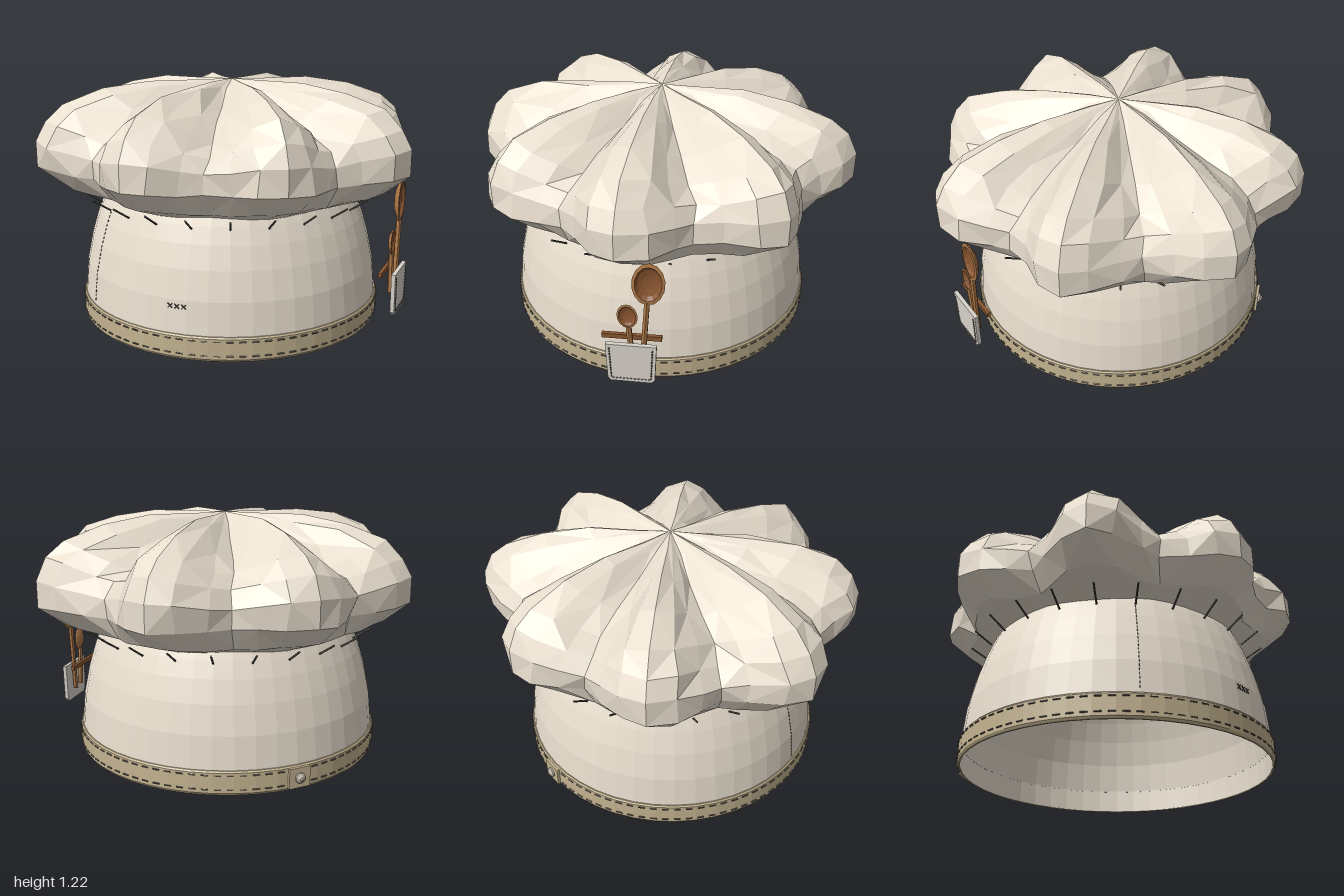
import * as THREE from 'three';
import { mergeGeometries } from 'three/addons/utils/BufferGeometryUtils.js';

const mat = (color) => new THREE.MeshStandardMaterial({ color, flatShading: true, side: THREE.DoubleSide });
const cloth = mat(0xe9dfcf), bandCloth = mat(0xc4b390), thread = mat(0x5a554d);
const wood = mat(0xb07a48), darkWood = mat(0x8a5630), pocketCloth = mat(0xd8d3ca), metal = mat(0xbdb6a8);
const V = (x, y, z) => new THREE.Vector3(x, y, z);
const v2 = (pts) => pts.map(([x, y]) => new THREE.Vector2(x, y));
const rad = THREE.MathUtils.degToRad;

// Point at an azimuth measured from the front (+z) toward +x
const polar = (az, r, y) => V(Math.sin(az) * r, y, Math.cos(az) * r);

function add(parent, name, geometry, material, pos = [0, 0, 0]) {
  const m = new THREE.Mesh(geometry, material);
  m.name = name;
  m.position.set(...pos);
  parent.add(m);
  return m;
}

// Thin rod between two points
function rod(a, b, r, sides = 4) {
  const g = new THREE.CylinderGeometry(r, r, a.distanceTo(b), sides);
  const dir = b.clone().sub(a).normalize();
  g.applyQuaternion(new THREE.Quaternion().setFromUnitVectors(V(0, 1, 0), dir));
  return g.translate((a.x + b.x) / 2, (a.y + b.y) / 2, (a.z + b.z) / 2);
}

// Dashes along a path given by a function of t in 0..1
function dashes(path, n, r) {
  return mergeGeometries(Array.from({ length: n }, (_, i) => rod(path((i + 0.2) / n), path((i + 0.75) / n), r)));
}

// Wall profile from the hem up to the crown, as [radius, y]
const wallProfile = [[0.779, 0.002], [0.783, 0.125], [0.768, 0.28], [0.738, 0.42], [0.705, 0.53], [0.675, 0.61], [0.65, 0.67]];
function wallR(y) {
  const i = wallProfile.findIndex((p) => p[1] >= y);
  const [r0, y0] = wallProfile[i - 1], [r1, y1] = wallProfile[i];
  return r0 + ((r1 - r0) * (y - y0)) / (y1 - y0);
}

// Puffy crown: eight lobes, each ring blends a valley and a peak profile
function crownGeometry() {
  const N = 48;
  const reach = [0.94, 0.98, 1, 0.99, 0.94, 0.96, 1, 0.95];
  // [peak radius, peak y, valley radius, valley y] from hem to top
  const rings = [
    [0.66, 0.635, 0.65, 0.645], [0.87, 0.7, 0.74, 0.68], [1, 0.8, 0.8, 0.785],
    [1, 0.93, 0.805, 0.88], [0.95, 1.03, 0.75, 0.95], [0.86, 1.11, 0.65, 1.0],
    [0.66, 1.18, 0.51, 1.055], [0.42, 1.21, 0.33, 1.12], [0.17, 1.217, 0.16, 1.18],
  ];
  let seed = 7;
  const rnd = () => ((seed = (seed * 16807) % 2147483647) / 2147483647) - 0.5;
  const pos = [], idx = [];
  rings.forEach(([pr, py, vr, vy], j) => {
    const wobble = j === 0 || j > 7 ? 0 : 1;
    for (let i = 0; i < N; i++) {
      const a = (i / N) * Math.PI * 2;
      const f = Math.pow((1 + Math.cos(8 * a)) / 2, 0.9);
      const k = reach[Math.round(i / 6) % 8];
      const r = vr + (pr * (j ? k : 1) - vr) * f + (i % 6 ? rnd() * 0.03 * wobble : 0);
      const y = vy + (py - vy) * f + rnd() * 0.024 * wobble * (j > 3 ? 1 : 0.5);
      const p = polar(a + (i % 6 ? rnd() * 0.04 * wobble : 0), r, y);
      pos.push(p.x, p.y, p.z);
      if (j) {
        const b = j * N + i, b2 = j * N + ((i + 1) % N);
        if ((i + j) % 2) idx.push(b - N, b2 - N, b2, b - N, b2, b);
        else idx.push(b - N, b2 - N, b, b2 - N, b2, b);
      }
    }
  });
  const tip = rings.length * N, last = tip - N;
  pos.push(0.01, 1.22, 0);
  for (let i = 0; i < N; i++) idx.push(last + i, last + ((i + 1) % N), tip);
  const g = new THREE.BufferGeometry();
  g.setAttribute('position', new THREE.Float32BufferAttribute(pos, 3));
  g.setIndex(idx);
  g.computeVertexNormals();
  return g;
}

// Wooden spoon: hollow oval bowl facing outward with a handle hanging below
function spoon(name, w, h, handle, tilt) {
  const s = new THREE.Group();
  s.name = name;
  const outer = new THREE.LatheGeometry(v2([[0.001, -0.4], [0.55, -0.33], [0.9, -0.12], [1, 0.05], [0.82, 0.08]]), 14);
  const inner = new THREE.LatheGeometry(v2([[0.82, 0.08], [0.65, -0.1], [0.35, -0.2], [0.001, -0.24]]), 14);
  for (const g of [outer, inner]) g.rotateX(Math.PI / 2).scale(w, h, w);
  add(s, 'spoonBowl', outer, wood);
  add(s, 'spoonHollow', inner, darkWood);
  add(s, 'spoonHandle', rod(V(0, -h * 0.9, -0.005), V(0, -h - handle, -0.005), 0.014, 6), wood);
  s.rotation.set(0, rad(50), tilt, 'YXZ');
  return s;
}

export function createModel() {
  const hat = new THREE.Group();
  hat.name = 'chefHat';

  // Wall, headband and crown
  add(hat, 'wall', new THREE.LatheGeometry(v2(wallProfile), 48), cloth);
  const band = [[0.779, 0], [0.787, 0], [0.794, 0.012], [0.794, 0.112], [0.788, 0.12], [0.782, 0.12]];
  add(hat, 'headband', new THREE.LatheGeometry(v2(band), 48), bandCloth);
  add(hat, 'crown', crownGeometry(), cloth);

  // Two rows of headband stitches
  for (const y of [0.03, 0.1]) {
    add(hat, 'bandStitches', dashes((t) => polar(t * Math.PI * 2, 0.795, y), 84, 0.004), thread);
  }

  // Gather stitches under the crown
  const gathers = Array.from({ length: 24 }, (_, i) => {
    const a = (i / 24) * Math.PI * 2;
    return rod(polar(a, 0.685, 0.6), polar(a, 0.775, 0.66), 0.005, 5);
  });
  add(hat, 'gatherStitches', mergeGeometries(gathers), thread);

  // Vertical seam on the wall
  const seam = (t) => polar(rad(-75), wallR(0.14 + t * 0.46) + 0.001, 0.14 + t * 0.46);
  add(hat, 'wallSeam', dashes(seam, 22, 0.002), thread);

  // Three small cross stitches
  const crosses = [];
  for (const az of [-36, -33.5, -31]) {
    for (const s of [-1, 1]) {
      const d = rad(0.8) * s, r = wallR(0.25) + 0.003;
      crosses.push(rod(polar(rad(az) - d, r, 0.24), polar(rad(az) + d, r, 0.262), 0.003));
    }
  }
  add(hat, 'crossStitches', mergeGeometries(crosses), thread);

  // Overlap tab and stud at the back
  add(hat, 'bandTab', new THREE.BoxGeometry(0.11, 0.1, 0.014), bandCloth, [0, 0.063, -0.8]);
  const stud = new THREE.LatheGeometry(v2([[0.026, 0], [0.026, 0.01], [0.016, 0.016], [0.01, 0.022], [0.001, 0.024]]), 10);
  add(hat, 'stud', stud.rotateX(-Math.PI / 2), metal, [0, 0.063, -0.806]);

  // Pocket with stitched edge and a strip behind its top
  const pocket = new THREE.Group();
  pocket.name = 'pocket';
  pocket.position.set(0.69, 0.22, 0.615);
  pocket.rotation.y = rad(50);
  const outline = v2([[-0.118, 0.105], [-0.11, -0.09], [-0.095, -0.108], [0.095, -0.108], [0.11, -0.09], [0.118, 0.105]]);
  const panel = new THREE.ExtrudeGeometry(new THREE.Shape(outline), { depth: 0.02, bevelEnabled: false });
  add(pocket, 'pocketPanel', panel, pocketCloth);
  const edge = [[-0.1, 0.09], [-0.092, -0.088], [0.092, -0.088], [0.1, 0.09]].map(([x, y]) => V(x, y, 0.022));
  for (let i = 0; i < 3; i++) {
    add(pocket, 'pocketStitches', dashes((t) => edge[i].clone().lerp(edge[i + 1], t), 11, 0.003), thread);
  }
  add(pocket, 'pocketStrip', new THREE.BoxGeometry(0.28, 0.024, 0.018), darkWood, [-0.005, 0.103, -0.05]);
  hat.add(pocket);

  // Spoons standing in the pocket
  const large = spoon('largeSpoon', 0.075, 0.112, 0.36, rad(-4));
  large.position.set(0.73, 0.65, 0.545);
  const small = spoon('smallSpoon', 0.048, 0.066, 0.2, rad(4));
  small.position.set(0.66, 0.46, 0.615);
  hat.add(large, small);

  return hat;
}
